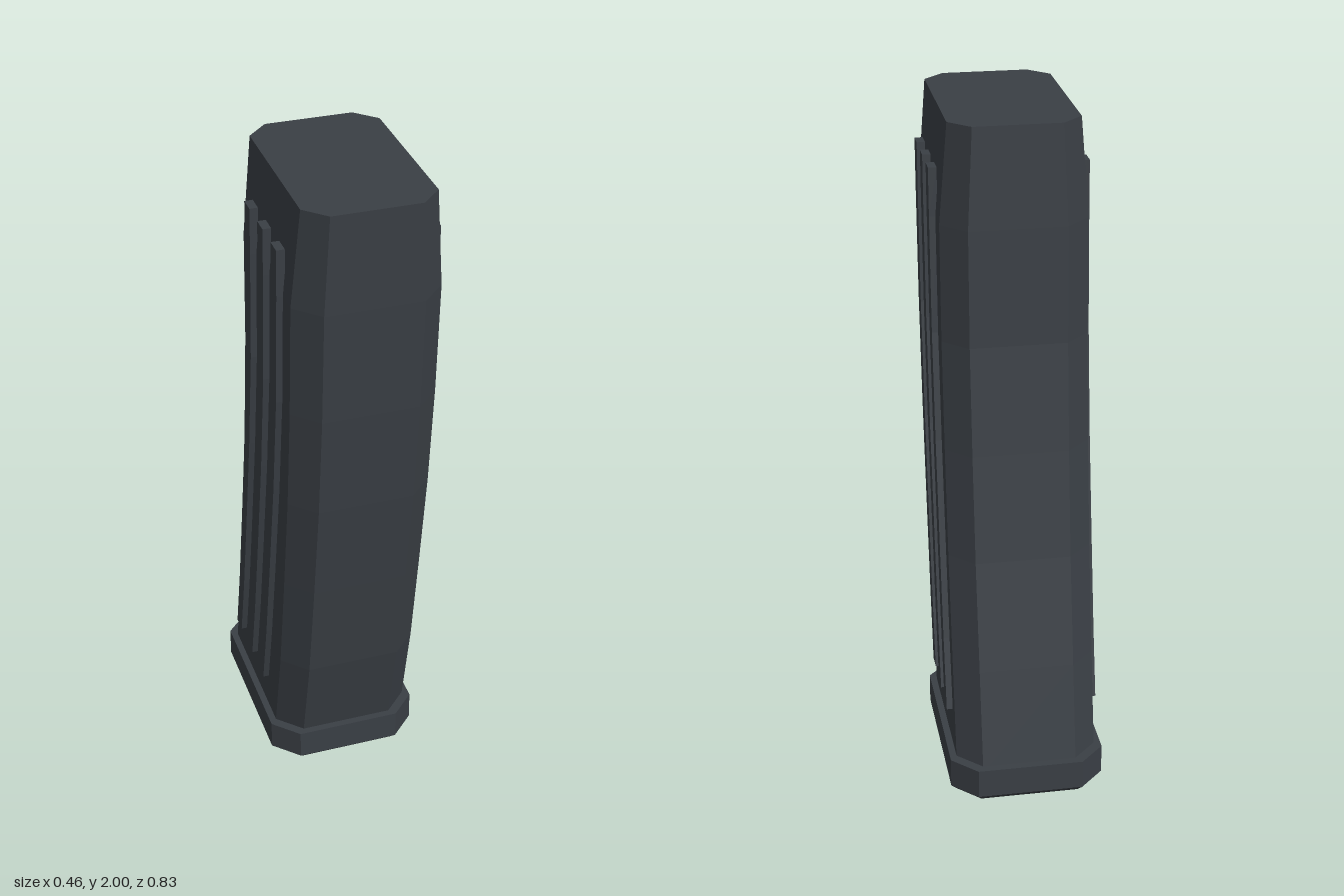
import * as THREE from 'three';

// Skin a stack of rings (bottom to top); each ring runs front -> +x -> back -> -x
function loft(rings) {
  const pos = [];
  const n = rings[0].length;
  const tri = (...pts) => pts.forEach((p) => pos.push(...p));
  for (let k = 0; k < rings.length - 1; k++) {
    const lo = rings[k], hi = rings[k + 1];
    for (let i = 0; i < n; i++) {
      const j = (i + 1) % n;
      tri(lo[i], lo[j], hi[j]);
      tri(lo[i], hi[j], hi[i]);
    }
  }
  const bottom = rings[0], top = rings[rings.length - 1];
  for (let i = 1; i < n - 1; i++) {
    tri(top[0], top[i], top[i + 1]);
    tri(bottom[0], bottom[i + 1], bottom[i]);
  }
  const geo = new THREE.BufferGeometry();
  geo.setAttribute('position', new THREE.Float32BufferAttribute(pos, 3));
  geo.computeVertexNormals();
  return geo;
}

// Rectangle with chamfered corners: half width w, front z, back z, chamfer c
function octagon(y, w, front, back, c) {
  const right = [[w - c, front], [w, front - c], [w, back + c], [w - c, back]];
  const left = right.map(([x, z]) => [-x, z]).reverse();
  return [...right, ...left].map(([x, z]) => [x, y, z]);
}

export function createModel() {
  const group = new THREE.Group();
  const polymer = new THREE.MeshStandardMaterial({ color: 0x3a3f45, flatShading: true });
  polymer.name = 'dark grey polymer';

  const add = (name, geo) => {
    const mesh = new THREE.Mesh(geo, polymer);
    mesh.name = name;
    group.add(mesh);
  };

  // Curved body, narrowing in width at the top: y, half width, front, back, chamfer
  add('body', loft([
    [0.09, 0.21, 0.19, -0.393, 0.07],
    [0.40, 0.21, 0.258, -0.333, 0.07],
    [0.73, 0.21, 0.31, -0.27, 0.07],
    [1.05, 0.21, 0.357, -0.225, 0.07],
    [1.37, 0.21, 0.389, -0.19, 0.07],
    [1.71, 0.21, 0.408, -0.178, 0.07],
    [2.00, 0.186, 0.414, -0.168, 0.06],
  ].map((s) => octagon(...s))));

  // Base plate with a bevelled lower edge
  add('basePlate', loft([
    octagon(0, 0.212, 0.197, -0.395, 0.065),
    octagon(0.02, 0.23, 0.216, -0.414, 0.073),
    octagon(0.11, 0.23, 0.216, -0.414, 0.073),
  ]));

  // Three raised ribs on each side, following the curve: y, centre z
  const ribPath = [
    [0.23, -0.098], [0.45, -0.05], [0.73, 0.002], [1.05, 0.058],
    [1.37, 0.1], [1.71, 0.12], [1.85, 0.124],
  ];
  for (const side of [1, -1]) {
    const xs = [0.204 * side, 0.228 * side];
    const inner = Math.min(...xs), outer = Math.max(...xs);
    [0.125, 0, -0.125].forEach((offset, i) => {
      const rings = ribPath.map(([y, z]) => {
        const f = z + offset + 0.025, b = z + offset - 0.025;
        return [[outer, y, f], [outer, y, b], [inner, y, b], [inner, y, f]];
      });
      add(`${side > 0 ? 'left' : 'right'}Rib${i + 1}`, loft(rings));
    });
  }
  return group;
}
